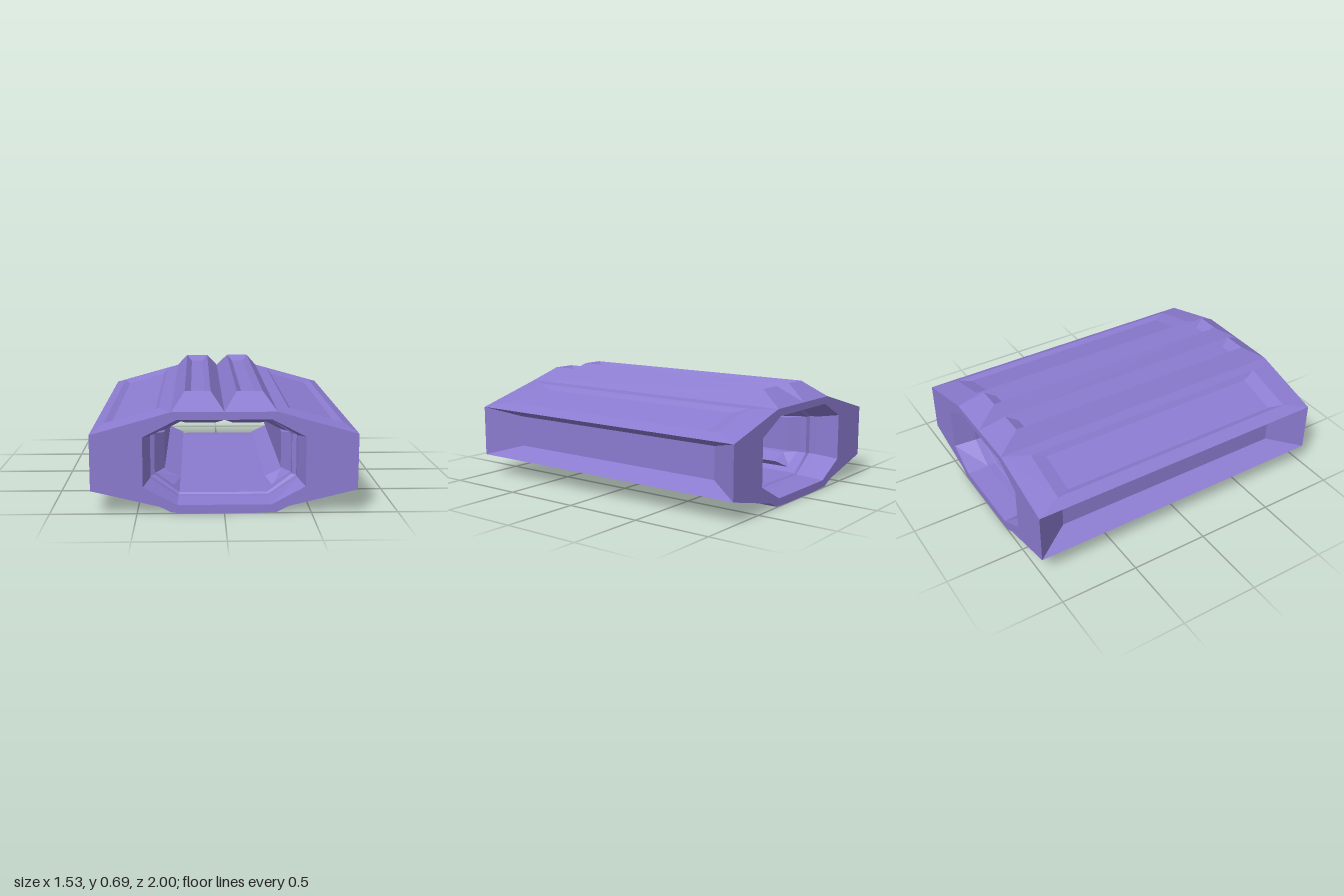
import * as THREE from 'three';

const violet = new THREE.MeshStandardMaterial({ color: 0x8b7bd0, flatShading: true, side: THREE.DoubleSide });
violet.name = 'violet';

function meshFrom(name, quads) {
  const pos = [];
  for (const [a, b, c, d] of quads) pos.push(...a, ...b, ...c, ...a, ...c, ...d);
  const geo = new THREE.BufferGeometry();
  geo.setAttribute('position', new THREE.Float32BufferAttribute(pos, 3));
  geo.computeVertexNormals();
  const mesh = new THREE.Mesh(geo, violet);
  mesh.name = name;
  return mesh;
}

// Rows of points joined into a skin; each row is a closed or open line
function skin(rows, closed) {
  const quads = [];
  for (let i = 0; i + 1 < rows.length; i++) {
    const n = rows[i].length;
    for (let j = 0; j < (closed ? n : n - 1); j++) {
      const k = (j + 1) % n;
      quads.push([rows[i][j], rows[i][k], rows[i + 1][k], rows[i + 1][j]]);
    }
  }
  return quads;
}

// Nested four-sided steps [ax, ay, bx, by, halfLength], capped at the last one
function panel(name, steps, side) {
  const loops = steps.map(([ax, ay, bx, by, z]) => {
    const loop = [[ax * side, ay, z], [ax * side, ay, -z], [bx * side, by, -z], [bx * side, by, z]];
    return side < 0 ? loop.reverse() : loop;
  });
  return meshFrom(name, [...skin(loops, true), loops[loops.length - 1]]);
}

// Mirrors a half profile across x = 0
const full = (half) => [...half, ...half.map(([x, y]) => [-x, y]).reverse()];

export function createModel() {
  const group = new THREE.Group();
  group.name = 'corridorModule';

  const opening = full([[0.27, 0.545], [0.465, 0.445], [0.465, 0.155], [0.27, 0.05]]);
  const frame = full([[0.265, 0.525], [0.43, 0.425], [0.43, 0.175], [0.265, 0.06]]);
  const bore = full([[0.26, 0.52], [0.405, 0.42], [0.405, 0.18], [0.26, 0.07]]);
  const belly = [[0.765, 0.135], [0.37, 0.04], [0.30, 0.005], [0.18, 0]];

  // End walls with the octagonal opening
  const shape = new THREE.Shape(
    full([[0.30, 0.59], [0.765, 0.46], ...belly]).map(([x, y]) => new THREE.Vector2(x, y)));
  shape.holes.push(new THREE.Path(opening.map(([x, y]) => new THREE.Vector2(x, y))));
  const endGeo = new THREE.ShapeGeometry(shape);
  for (const [name, z, turn] of [['frontWall', 1, 0], ['backWall', -1, Math.PI]]) {
    const wall = new THREE.Mesh(endGeo, violet);
    wall.name = name;
    wall.position.z = z;
    wall.rotation.y = turn;
    group.add(wall);
  }

  // Underside
  const at = (profile, z) => profile.map(([x, y]) => [x, y, z]);
  const under = full(belly);
  group.add(meshFrom('underside', skin([at(under, -1), at(under, 1)], false)));

  // Tunnel lining with stepped frames at each end
  const sections = [[opening, 1], [frame, 0.86], [frame, 0.81], [bore, 0.8], [bore, -0.8],
    [frame, -0.81], [frame, -0.86], [opening, -1]];
  group.add(meshFrom('tunnelLining', skin(sections.map(([p, z]) => at(p, z)).reverse(), true)));

  for (const side of [1, -1]) {
    const s = side > 0 ? 'left' : 'right';
    // Sunken outer side
    group.add(panel(s + 'SideRecess', [
      [0.765, 0.135, 0.765, 0.46, 1], [0.63, 0.2, 0.63, 0.4, 0.78]], side));
    // Roof slope with raised rim and sunken panel
    group.add(panel(s + 'RoofPanel', [
      [0.765, 0.46, 0.30, 0.59, 1], [0.695, 0.497, 0.375, 0.585, 0.84],
      [0.655, 0.484, 0.40, 0.555, 0.75]], side));
    // Roof ridge with a channel along its top
    group.add(panel(s + 'RoofRidge', [
      [0.30, 0.59, 0, 0.59, 1], [0.225, 0.685, 0.075, 0.685, 0.85],
      [0.19, 0.65, 0.11, 0.65, 0.78]], side));
    // Ceiling beam
    group.add(panel(s + 'CeilingBeam', [
      [0, 0.545, 0.27, 0.545, 1], [0.05, 0.5, 0.22, 0.5, 0.85]], side));
    // Interior wall padding
    group.add(panel(s + 'WallPad', [
      [0.405, 0.42, 0.405, 0.18, 0.76], [0.35, 0.41, 0.35, 0.19, 0.68]], side));
    group.add(panel(s + 'UpperPad', [
      [0.27, 0.515, 0.405, 0.42, 0.74], [0.215, 0.49, 0.35, 0.42, 0.66]], side));
    group.add(panel(s + 'LowerPad', [
      [0.405, 0.18, 0.30, 0.09, 0.74], [0.35, 0.175, 0.255, 0.13, 0.66]], side));
  }
  return group;
}
